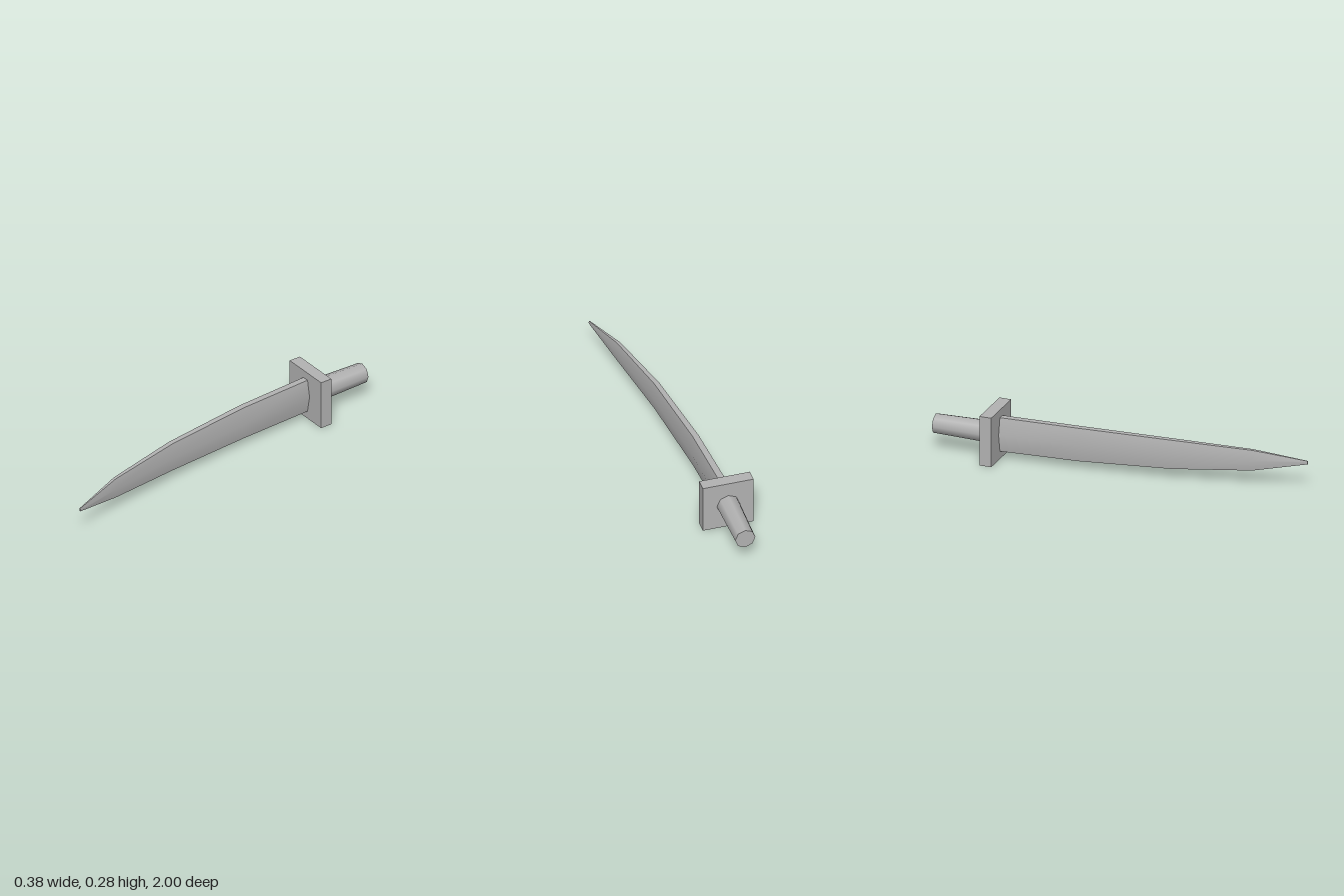
import * as THREE from 'three';
import { toCreasedNormals } from 'three/addons/utils/BufferGeometryUtils.js';

const midY = 0.139;
const baseX = -0.052;

// Lofts six-sided sections [z, centre x, half thickness, half height] along z
function bladeGeometry(sections) {
  const sides = 6, points = [], index = [];
  for (const [z, x, halfX, halfY] of sections) {
    for (let j = 0; j < sides; j++) {
      const a = (j / sides) * Math.PI * 2;
      points.push(x + Math.cos(a) * halfX, midY + (Math.sin(a) / Math.sin(Math.PI / 3)) * halfY, z);
    }
  }
  const last = (sections.length - 1) * sides;
  for (let i = 0; i < last; i += sides) {
    for (let j = 0; j < sides; j++) {
      const a = i + j, b = i + (j + 1) % sides;
      index.push(a, b, a + sides, b, b + sides, a + sides);
    }
  }
  // end caps
  for (let j = 1; j < sides - 1; j++) {
    index.push(0, j + 1, j, last, last + j, last + j + 1);
  }
  const geometry = new THREE.BufferGeometry();
  geometry.setAttribute('position', new THREE.Float32BufferAttribute(points, 3));
  geometry.setIndex(index);
  return toCreasedNormals(geometry, 1);
}

export function createModel() {
  const group = new THREE.Group();
  group.name = 'curvedSword';
  const steel = new THREE.MeshStandardMaterial({ color: 0xb3b3b3 });
  steel.name = 'greySteel';

  const add = (name, geometry, x = 0, y = 0, z = 0) => {
    const mesh = new THREE.Mesh(geometry, steel);
    mesh.name = name;
    mesh.position.set(x, y, z);
    group.add(mesh);
  };

  // Curved blade tapering to the tip
  add('blade', bladeGeometry([
    [-0.64, -0.052, 0.036, 0.095],
    [-0.2, -0.027, 0.033, 0.093],
    [0.3, 0.03, 0.028, 0.081],
    [0.72, 0.11, 0.018, 0.057],
    [1.0, 0.183, 0.004, 0.009],
  ]));

  // Square guard
  add('guard', new THREE.BoxGeometry(0.277, 0.277, 0.066), baseX, midY, -0.665);

  // Eight-sided grip, slightly narrower at the end
  const grip = new THREE.CylinderGeometry(0.055, 0.062, 0.31, 8);
  grip.rotateX(-Math.PI / 2);
  add('grip', grip, baseX, midY, -0.845);

  return group;
}
